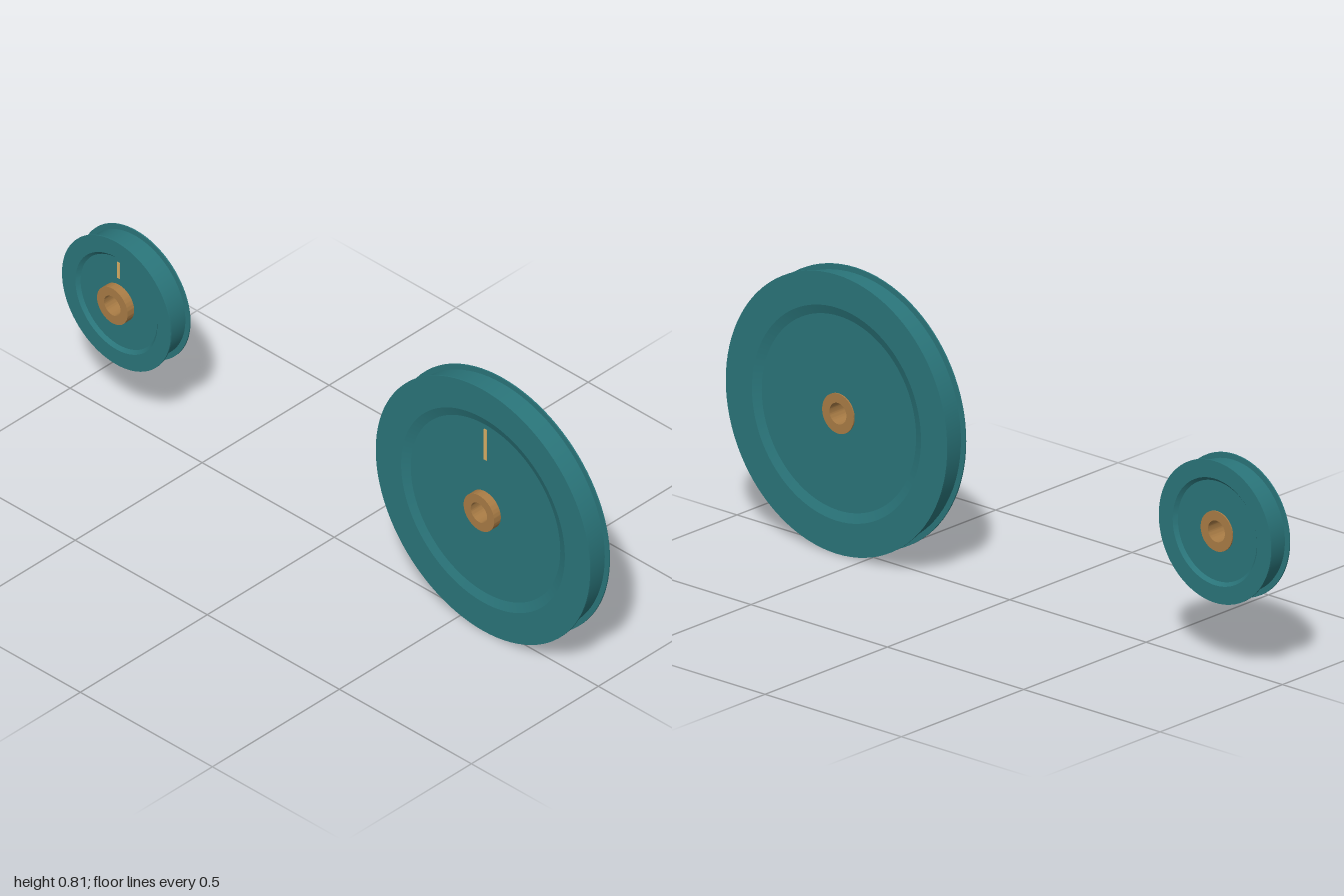
import * as THREE from 'three';
import { toCreasedNormals } from 'three/addons/utils/BufferGeometryUtils.js';

const teal = new THREE.MeshStandardMaterial({ color: 0x2a757a });
const bronze = new THREE.MeshStandardMaterial({ color: 0xa97c45 });
const gold = new THREE.MeshStandardMaterial({ color: 0xd9b066 });

const FRONT = 0.032, BACK = -0.046;       // flange faces
const FLANGE = 0.004, GROOVE = 0.016;     // flange thickness, groove depth
const RECESS = 0.01;                      // depth of the dished faces

// Revolves [radius, z] pairs around the z axis
function revolve(name, profile, material) {
  const points = profile.map(([r, z]) => new THREE.Vector2(r, z));
  const geometry = new THREE.LatheGeometry(points, 96).rotateX(Math.PI / 2);
  const mesh = new THREE.Mesh(toCreasedNormals(geometry, 0.2), material);
  mesh.name = name;
  return mesh;
}

function pulley({ name, x, radius, dishOuter, dishInner, markFrom, markTo, markWidth }) {
  const group = new THREE.Group();
  group.name = name;
  group.position.set(x, 0.406, 0);

  // Disc with dished faces and a flat groove between two thin flanges
  const floor = radius - GROOVE;
  group.add(revolve('grooved wheel', [
    [0.045, BACK + RECESS], [dishInner, BACK + RECESS], [dishOuter, BACK],
    [radius, BACK], [radius, BACK + FLANGE], [floor, BACK + FLANGE],
    [floor, FRONT - FLANGE], [radius, FRONT - FLANGE], [radius, FRONT],
    [dishOuter, FRONT], [dishInner, FRONT - RECESS], [0.045, FRONT - RECESS],
  ], teal));

  // Bushing stands proud at the front and has an open bore
  group.add(revolve('hub bushing', [
    [0.031, -0.04], [0.058, -0.04], [0.058, 0.048], [0.031, 0.048], [0.031, -0.04],
  ], bronze));

  // Index line on the dished front face
  const mark = new THREE.Mesh(new THREE.BoxGeometry(markWidth, markTo - markFrom, 0.004), gold);
  mark.name = 'index mark';
  mark.position.set(0, (markFrom + markTo) / 2, FRONT - RECESS);
  group.add(mark);
  return group;
}

export function createModel() {
  const model = new THREE.Group();
  model.name = 'pulley pair';
  model.add(
    pulley({ name: 'small pulley', x: -0.794, radius: 0.206, dishOuter: 0.155, dishInner: 0.145,
      markFrom: 0.08, markTo: 0.133, markWidth: 0.01 }),
    pulley({ name: 'large pulley', x: 0.594, radius: 0.406, dishOuter: 0.31, dishInner: 0.283,
      markFrom: 0.165, markTo: 0.268, markWidth: 0.01 }),
  );
  return model;
}
